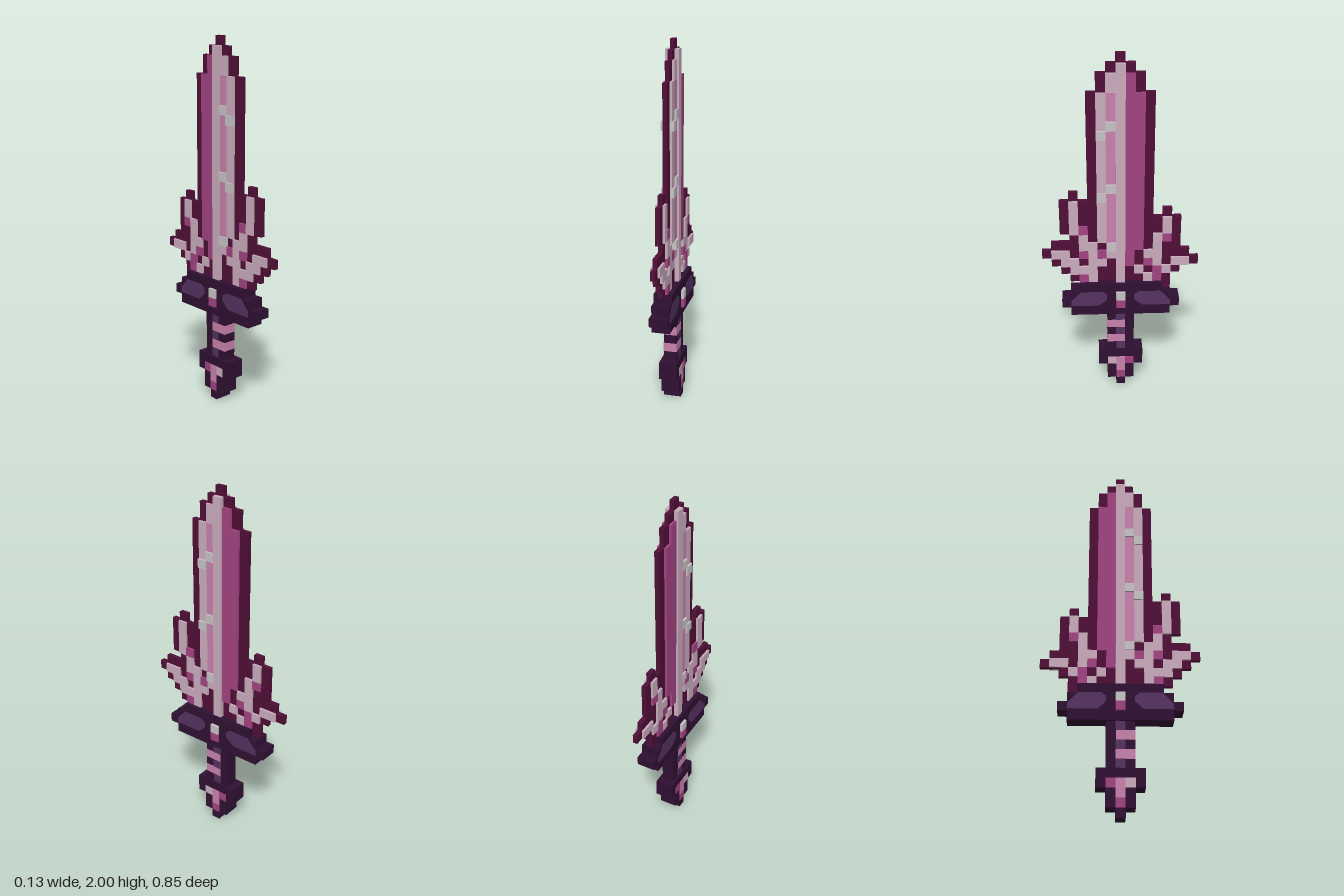
import * as THREE from 'three';
import { mergeGeometries } from 'three/addons/utils/BufferGeometryUtils.js';

const U = 0.05; // cell size

function material(name, color) {
  const m = new THREE.MeshStandardMaterial({ color });
  m.name = name;
  return m;
}

const maroon = material('maroon', 0x500f37);
const pale = material('pale pink', 0xcaacbe);
const pink = material('pink', 0xc882ac);
const magenta = material('magenta', 0xa24382);
const white = material('light grey', 0xc8c4c6);
const darkPurple = material('dark purple', 0x2f1032);
const purple = material('purple', 0x553160);

// Blade cells, top row first; columns run from +z to -z
const column = '.....DPKRMMD.....';
const glintHigh = '.....DPWRMMD.....';
const glintLow = '.....DWKRMMD.....';
const bladeRows = [
  '........D........',
  '.......DRD.......',
  '......DPRMD......',
  '......DPRMD......',
  column, column, column, glintHigh, glintLow,
  column, column, column, column, column, glintHigh,
  '...D.DWKRMMD.....',
  '..DPDDPKRMMD.....',
  '..DPDDPKRMMD.D...',
  '..DPDDPKRMMDDPD..',
  '..DPMDPKRMMDDPD..',
  '...DPDPKRMMDPMD..',
  '.DDDPPDWRMMDPDD..',
  'DPPDMPMPRMDPPDDD.',
  '.DPPDPPDRMDMPDPPD',
  '..DPPPDDRDPDMPD..',
  '...DMPDDRDDPMD...',
  '.............D...',
];

// Box spanning columns c0..c1 (in z) and rows r0..r1 (in y), with half thickness h
function cells(c0, c1, r0, r1, h) {
  const g = new THREE.BoxGeometry(2 * h, (r1 - r0 + 1) * U, (c1 - c0 + 1) * U);
  return g.translate(0, ((r0 + r1 + 1) / 2) * U, ((c0 + c1) / 2) * U);
}

// Merge vertical runs of matching cells into boxes
function runs(match, h) {
  const boxes = [];
  for (let i = 0; i < 17; i++) {
    for (let j = 0; j < bladeRows.length; j++) {
      if (!match(bladeRows[j][i])) continue;
      const start = j;
      while (j + 1 < bladeRows.length && match(bladeRows[j + 1][i])) j++;
      boxes.push(cells(8 - i, 8 - i, 39 - j, 39 - start, h));
    }
  }
  return mergeGeometries(boxes);
}

export function createModel() {
  const model = new THREE.Group();
  model.name = 'sword';

  const group = (name) => {
    const g = new THREE.Group();
    g.name = name;
    model.add(g);
    return g;
  };
  const add = (parent, name, geometry, mat) => {
    const mesh = new THREE.Mesh(geometry, mat);
    mesh.name = name;
    parent.add(mesh);
    return mesh;
  };

  // Blade and crystal wings: thin core with raised coloured layers
  const blade = group('blade');
  add(blade, 'bladeCore', runs((c) => c !== '.', 0.0125), maroon);
  add(blade, 'paleFacets', runs((c) => c === 'P', 0.025), pale);
  add(blade, 'pinkFacets', runs((c) => c === 'K', 0.025), pink);
  add(blade, 'magentaFacets', runs((c) => c === 'M', 0.025), magenta);
  add(blade, 'centreRidge', runs((c) => c === 'R', 0.0365), pale);
  add(blade, 'glints', runs((c) => c === 'W', 0.035), white);

  // Stepped crossguard
  const guard = group('crossguard');
  [[13, 4], [12, 5], [11, 6], [10, 5]].forEach(([row, c]) =>
    add(guard, 'guardStep', cells(-c, c, row, row, 0.05), darkPurple));
  add(guard, 'gemTop', cells(0, 0, 12, 12, 0.065), white);
  add(guard, 'gemBottom', cells(0, 0, 11, 11, 0.065), magenta);

  // Inlaid guard panels on both faces and both arms
  const outline = [[0.275, 0.56], [0.275, 0.59], [0.22, 0.65], [0.1, 0.65],
    [0.075, 0.63], [0.075, 0.6], [0.12, 0.56]];
  for (const arm of [-1, 1]) {
    const shape = new THREE.Shape(outline.map(([z, y]) => new THREE.Vector2(arm * z, y)));
    const plate = new THREE.ExtrudeGeometry(shape, { depth: 0.104, bevelEnabled: false });
    plate.translate(0, 0, -0.052).rotateY(Math.PI / 2).scale(1, 1, 1);
    add(guard, 'guardPanel', plate, purple);
  }

  // Grip with wrapped bands toward the front
  const grip = group('grip');
  add(grip, 'gripCore', cells(-1, 1, 5, 9, 0.036), darkPurple);
  for (const row of [5, 7, 9]) add(grip, 'gripInlay', cells(0, 0, row, row, 0.038), purple);
  for (const row of [6, 8]) {
    const band = cells(0, 1, row, row, 0.038);
    add(grip, 'gripBand', band.translate(0, 0, 0.001), pink);
  }

  // Pommel with a tapering jewel
  const pommel = group('pommel');
  [[3, 4, 2], [1, 2, 1], [0, 0, 0]].forEach(([r0, r1, c]) =>
    add(pommel, 'pommelStep', cells(-c, c, r0, r1, 0.05), darkPurple));
  add(pommel, 'jewelLight', cells(1, 1, 3, 3, 0.052), pale);
  add(pommel, 'jewelMiddle', cells(0, 0, 2, 3, 0.052), pink);
  add(pommel, 'jewelShade', cells(-1, -1, 3, 3, 0.052), magenta);
  add(pommel, 'jewelTip', cells(0, 0, 1, 1, 0.052), magenta);

  return model;
}
